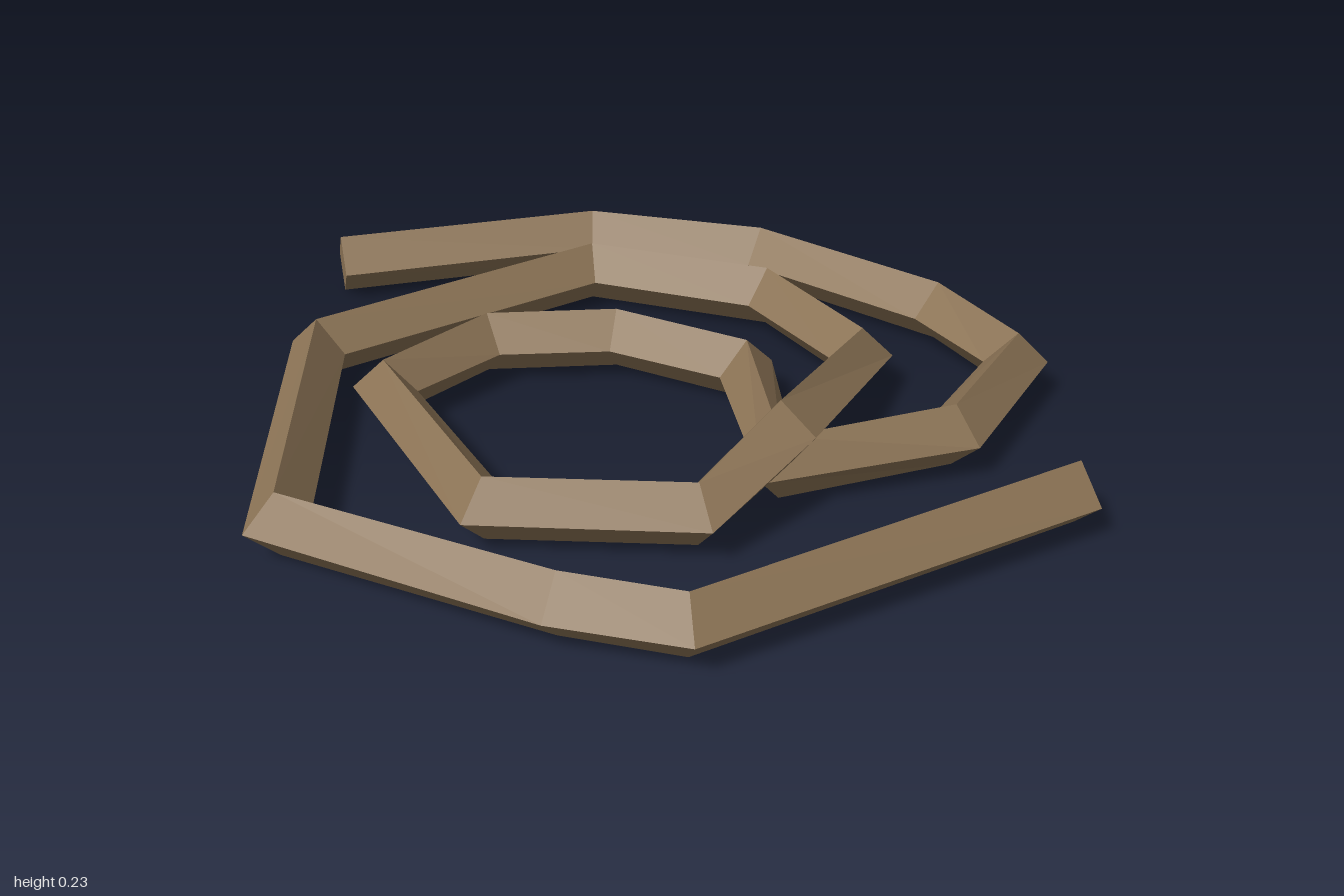
import * as THREE from 'three';

// Centre line of the rope: x, y, z, and an optional roll of the section
const PATH = [
  [-0.95, 0.073, -0.22], [-0.50, 0.073, -0.655], [-0.09, 0.073, -0.77],
  [0.405, 0.08, -0.685], [0.65, 0.08, -0.535], [0.645, 0.08, -0.175],
  [0.39, 0.078, 0.115], // sharp turn under the crossing
  [0.15, 0.08, -0.215], [-0.17, 0.08, -0.205], [-0.41, 0.08, -0.045],
  [-0.48, 0.08, 0.245], [-0.04, 0.08, 0.53], [0.33, 0.08, 0.345],
  [0.398, 0.161, 0.115, 0.17], // raised over the crossing
  [0.345, 0.08, -0.39], [0.03, 0.08, -0.56], [-0.40, 0.075, -0.485],
  [-0.73, 0.073, 0.155], [-0.355, 0.073, 0.76], [0.24, 0.073, 0.715],
  [0.475, 0.073, 0.655], [0.93, 0.073, -0.10],
];
const RADIUS = 0.071;

// Sweep a diamond section along the path and close both ends
function ropeGeometry() {
  const points = PATH.map(([x, y, z]) => new THREE.Vector3(x, y, z));
  const last = points.length - 1;
  const direction = (i) => {
    const d = points[i + 1].clone().sub(points[i]);
    d.y = 0;
    return d.normalize();
  };
  const positions = [];
  const index = [];

  points.forEach((p, i) => {
    const tangent = new THREE.Vector3();
    if (i > 0) tangent.add(direction(i - 1));
    if (i < last) tangent.add(direction(i));
    tangent.normalize();
    const side = new THREE.Vector3(-tangent.z, 0, tangent.x);
    const roll = PATH[i][3] || 0;
    for (let k = 0; k < 4; k++) {
      const angle = roll + (k * Math.PI) / 2;
      const corner = p.clone().addScaledVector(side, RADIUS * Math.cos(angle));
      corner.y += RADIUS * Math.sin(angle);
      positions.push(corner.x, corner.y, corner.z);
    }
  });

  for (let i = 0; i < last; i++) {
    for (let k = 0; k < 4; k++) {
      const a = i * 4 + k;
      const b = i * 4 + ((k + 1) % 4);
      index.push(a, a + 4, b, b, a + 4, b + 4);
    }
  }
  const e = last * 4;
  index.push(0, 1, 2, 0, 2, 3, e, e + 2, e + 1, e, e + 3, e + 2);

  const indexed = new THREE.BufferGeometry();
  indexed.setAttribute('position', new THREE.Float32BufferAttribute(positions, 3));
  indexed.setIndex(index);
  // Unshared corners give flat facets
  const geometry = indexed.toNonIndexed();
  geometry.computeVertexNormals();
  return geometry;
}

export function createModel() {
  const model = new THREE.Group();
  model.name = 'ropeCoil';

  const ropeBrown = new THREE.MeshStandardMaterial({ color: 0x8b7355 });
  ropeBrown.name = 'ropeBrown';

  const rope = new THREE.Mesh(ropeGeometry(), ropeBrown);
  rope.name = 'rope';
  model.add(rope);
  return model;
}
